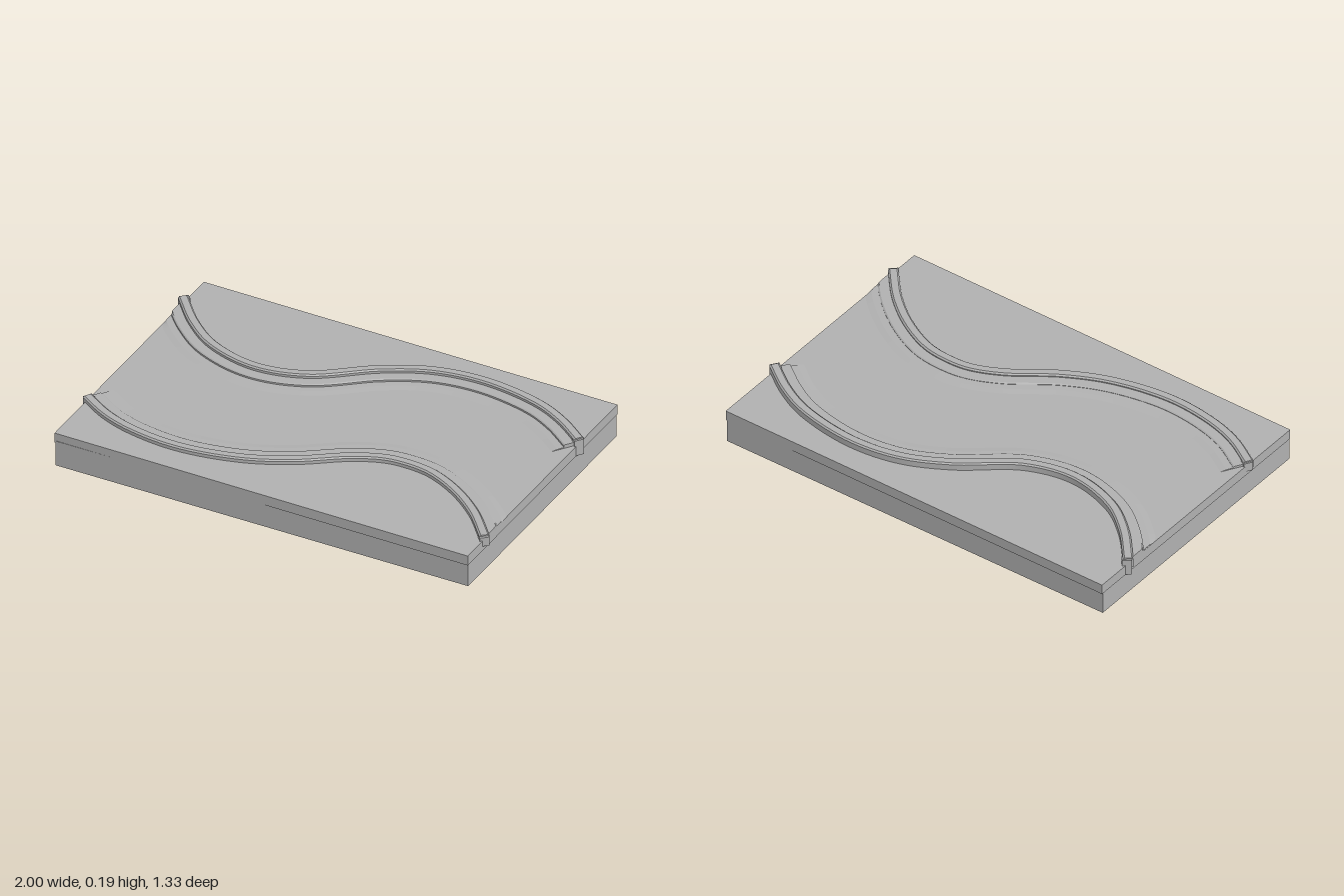
import * as THREE from 'three';

const TOP = 0.157;

// Sweep a convex profile of [inward offset, height] along a path on the ground plane.
function sweep(path, profile, side, limit) {
  const n = 90, pos = [], idx = [];
  const rows = path.getSpacedPoints(n).map((p, i) => {
    const t = path.getTangentAt(i / n);
    return profile.map(([u, y]) => [
      THREE.MathUtils.clamp(p.x - t.z * u * side, -limit, limit), y, p.z + t.x * u * side]);
  });
  const tri = (a, b, c) => (side > 0 ? idx.push(a, b, c) : idx.push(a, c, b));
  // one strip per profile edge keeps the long edges sharp
  for (let j = 0; j < profile.length - 1; j++) {
    const base = pos.length / 3;
    rows.forEach(r => pos.push(...r[j], ...r[j + 1]));
    for (let i = 0; i < n; i++) {
      const a = base + i * 2;
      tri(a, a + 1, a + 2);
      tri(a + 1, a + 3, a + 2);
    }
  }
  // end caps
  [rows[0], rows[n]].forEach((r, end) => {
    const base = pos.length / 3;
    r.forEach(v => pos.push(...v));
    for (let j = 1; j < r.length - 1; j++) {
      if (end) tri(base, base + j, base + j + 1);
      else tri(base, base + j + 1, base + j);
    }
  });
  const g = new THREE.BufferGeometry();
  g.setAttribute('position', new THREE.Float32BufferAttribute(pos, 3));
  g.setIndex(idx);
  g.computeVertexNormals();
  return g;
}

export function createModel() {
  const model = new THREE.Group();
  model.name = 'railSlab';
  const stone = new THREE.MeshStandardMaterial({ color: 0xb0b0b0 });
  stone.name = 'grey';
  const add = (parent, name, geo) => {
    const m = new THREE.Mesh(geo, stone);
    m.name = name;
    parent.add(m);
    return m;
  };

  // lower slab
  add(model, 'base', new THREE.BoxGeometry(1.952, 0.12, 1.302)).position.y = 0.06;

  // slightly skewed top layer, overhanging at two opposite corners
  const outline = new THREE.Shape([[-0.982, -0.649], [0.98, -0.662], [0.98, 0.653], [-0.982, 0.664]]
    .map(([x, y]) => new THREE.Vector2(x, y)));
  const plate = new THREE.ExtrudeGeometry(outline, { depth: TOP - 0.11, bevelEnabled: false });
  plate.rotateX(-Math.PI / 2);
  add(model, 'topLayer', plate).position.y = 0.11;

  // the two wavy rails; side is the direction of the slab's middle along z
  const rails = [
    { name: 'backRail', side: 1, top: 0.19, foot: 0.11, pts: [[-0.985, -0.485], [-0.85, -0.335], [-0.7, -0.225],
      [-0.47, -0.165], [-0.25, -0.215], [0, -0.395], [0.2, -0.49], [0.43, -0.52], [0.7, -0.475], [0.85, -0.405], [0.983, -0.31]] },
    { name: 'frontRail', side: -1, top: 0.178, foot: 0.13, pts: [[-0.985, 0.355], [-0.85, 0.435], [-0.7, 0.485],
      [-0.47, 0.508], [-0.2, 0.46], [0, 0.37], [0.2, 0.235], [0.33, 0.18], [0.43, 0.17], [0.55, 0.185], [0.7, 0.255], [0.85, 0.37], [0.98, 0.515]] },
  ];
  for (const { name, side, top, foot, pts } of rails) {
    const group = new THREE.Group();
    group.name = name;
    model.add(group);
    const path = new THREE.CatmullRomCurve3(pts.map(([x, z]) => new THREE.Vector3(x, 0, z)));
    const step = (top + TOP) / 2;
    add(group, 'rail', sweep(path,
      [[-0.022, 0.14], [-0.022, top - 0.006], [-0.015, top], [0.015, top], [0.022, top - 0.006], [0.022, 0.14]], side, 1));
    add(group, 'innerStep', sweep(path,
      [[0.015, 0.15], [0.015, step], [0.064, step], [0.07, step - 0.004], [0.07, 0.15]], side, 0.982));
    // soft shoulder falling to the middle of the slab
    add(group, 'shoulder', sweep(path,
      [[0.065, 0.15], [0.065, TOP + 0.005], [0.1, TOP + 0.004], [0.135, TOP - 0.001], [0.135, 0.15]], side, 0.981));
    // hooked rail ends hanging over the slab's sides
    for (const end of [0, 1]) {
      const t = path.getTangentAt(end);
      const p = pts[end ? pts.length - 1 : 0];
      const h = top - 0.006 - foot;
      const hook = add(group, 'railEnd', new THREE.BoxGeometry(0.028, h, 0.042));
      hook.position.set(Math.sign(p[0]) * 0.977, foot + h / 2, p[1]);
      hook.rotation.y = -Math.atan2(t.z, t.x);
    }
  }
  return model;
}
